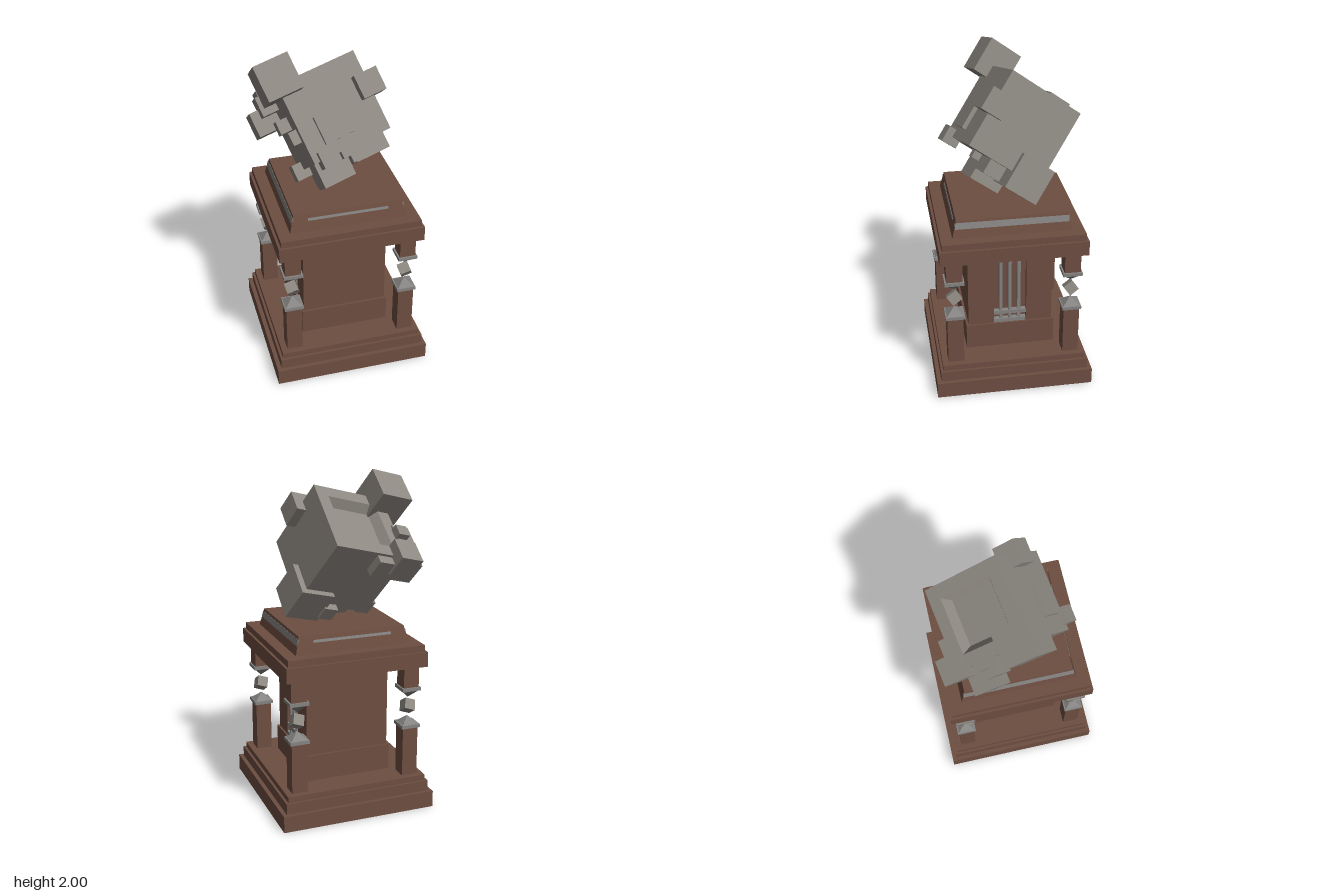
import * as THREE from 'three';

const wood = new THREE.MeshStandardMaterial({ color: 0x6e4e41 });
wood.name = 'brownStone';
const stone = new THREE.MeshStandardMaterial({ color: 0x8c8780 });
stone.name = 'greyStone';
const trim = new THREE.MeshStandardMaterial({ color: 0x858482 });
trim.name = 'greyTrim';

function add(parent, name, geometry, material, x = 0, y = 0, z = 0) {
  const mesh = new THREE.Mesh(geometry, material);
  mesh.name = name;
  mesh.position.set(x, y, z);
  parent.add(mesh);
  return mesh;
}

// Box given by its centre and size
function box(parent, name, material, [x, y, z], [w, h, d]) {
  return add(parent, name, new THREE.BoxGeometry(w, h, d), material, x, y, z);
}

// Square-section solid from [half width, height] pairs, bottom to top
function square(profile) {
  const points = profile.map(([half, y]) => new THREE.Vector2(half * Math.SQRT2, y));
  const geometry = new THREE.LatheGeometry(points, 4, Math.PI / 4).toNonIndexed();
  geometry.computeVertexNormals();
  return geometry;
}

function pedestal() {
  const g = new THREE.Group();
  g.name = 'pedestal';

  // Stepped foot and cornice: name, half width, bottom, top
  const steps = [
    ['footSlab', 0.475, 0, 0.1],
    ['footStep', 0.45, 0.1, 0.165],
    ['footTop', 0.435, 0.165, 0.2],
    ['corePlinth', 0.27, 0.2, 0.36],
    ['corniceSlab', 0.435, 0.89, 0.98],
    ['corniceStep', 0.42, 0.98, 1.02],
  ];
  for (const [name, half, y0, y1] of steps) {
    box(g, name, wood, [0, (y0 + y1) / 2, 0], [half * 2, y1 - y0, half * 2]);
  }

  // Core with a shallow channel on each side
  box(g, 'coreCentre', wood, [0, 0.625, 0], [0.46, 0.53, 0.2]);
  for (const s of [-1, 1]) {
    box(g, 'coreBlock', wood, [0, 0.625, s * 0.178], [0.516, 0.53, 0.156]);
    for (const z of [-0.055, 0, 0.055]) {
      box(g, 'channelBar', trim, [s * 0.24, 0.625, z], [0.03, 0.53, 0.02]);
    }
    for (const y of [0.373, 0.43]) {
      box(g, 'channelCrossbar', trim, [s * 0.243, y, 0], [0.034, 0.024, 0.196]);
    }
  }

  // Sloped top with inlaid bands
  add(g, 'slopedTop', square([[0, 1.02], [0.35, 1.02], [0.325, 1.125], [0, 1.125]]), wood);
  for (let i = 0; i < 4; i++) {
    const side = new THREE.Group();
    side.name = 'topBand';
    side.rotation.y = i * Math.PI / 2;
    const onX = i % 2 === 1;
    const band = box(side, 'band', trim, [0, 1.09, 0.3325],
      [onX ? 0.666 : 0.48, onX ? 0.038 : 0.016, 0.006]);
    band.rotation.x = -Math.atan2(0.025, 0.105);
    g.add(side);
  }
  return g;
}

// Broken corner post with a cube hovering between two points
function cornerPost(x, z) {
  const g = new THREE.Group();
  g.name = 'cornerPost';
  g.position.set(x, 0, z);
  box(g, 'lowerPost', wood, [0, 0.352, 0], [0.096, 0.305, 0.096]);
  box(g, 'upperPost', wood, [0, 0.824, 0], [0.096, 0.135, 0.096]);
  add(g, 'lowerPoint', square([[0, 0.503], [0.058, 0.503], [0.058, 0.523], [0.05, 0.523], [0, 0.568]]), trim);
  add(g, 'upperPoint', square([[0, 0.685], [0.05, 0.737], [0.058, 0.737], [0.058, 0.758], [0, 0.758]]), trim);
  const cube = box(g, 'hoveringCube', stone, [0, 0.63, 0], [0.066, 0.066, 0.066]);
  cube.rotation.set(0.6, 0.15, 0.3);
  return g;
}

function tiltedCube() {
  const g = new THREE.Group();
  g.name = 'tiltedCube';
  const X = new THREE.Vector3(0.953, 0.249, -0.166).normalize();
  const Z = new THREE.Vector3(-0.01, 0.583, 0.809);
  const Y = new THREE.Vector3().crossVectors(Z, X).normalize();
  Z.crossVectors(X, Y);
  g.quaternion.setFromRotationMatrix(new THREE.Matrix4().makeBasis(X, Y, Z));
  g.position.set(-0.031, 1.543, -0.056);

  // Main body with a sunken tray in its upper face
  const h = 0.241;
  add(g, 'body', square([[0, -h], [h, -h], [h, h], [0.165, h], [0.134, h - 0.054], [0, h - 0.054]]), stone);
  box(g, 'frontPlate', stone, [-0.049, -0.087, 0.243], [0.178, 0.165, 0.046]);

  // Cubes growing out of the edges and faces: centre, edge length
  const cubes = [
    [[-0.23, 0.27, 0.225], 0.212],
    [[0.23, 0.035, 0.238], 0.14],
    [[-0.158, -0.24, 0.236], 0.098],
    [[0.168, -0.23, -0.163], 0.218],
    [[-0.106, -0.293, -0.046], 0.2],
    [[-0.02, -0.26, 0.09], 0.05],
    [[-0.25, -0.24, -0.155], 0.1],
    [[0.03, -0.26, -0.24], 0.09],
    [[-0.214, 0.226, -0.237], 0.147],
    [[-0.1, 0.165, -0.235], 0.12],
    [[-0.32, 0.112, -0.15], 0.15],
    [[-0.28, 0.19, -0.05], 0.12],
    [[-0.25, 0.25, -0.06], 0.075],
    [[-0.27, 0.03, 0.06], 0.08],
    [[-0.25, -0.06, 0.15], 0.08],
  ];
  for (const [centre, size] of cubes) box(g, 'outgrowth', stone, centre, [size, size, size]);
  box(g, 'lowerBlock', stone, [0.085, -0.28, 0.005], [0.15, 0.1, 0.11]);
  return g;
}

export function createModel() {
  const model = new THREE.Group();
  model.name = 'cubeMonument';
  model.add(pedestal());
  for (const x of [-0.35, 0.35]) for (const z of [-0.35, 0.35]) model.add(cornerPost(x, z));
  model.add(tiltedCube());
  return model;
}
